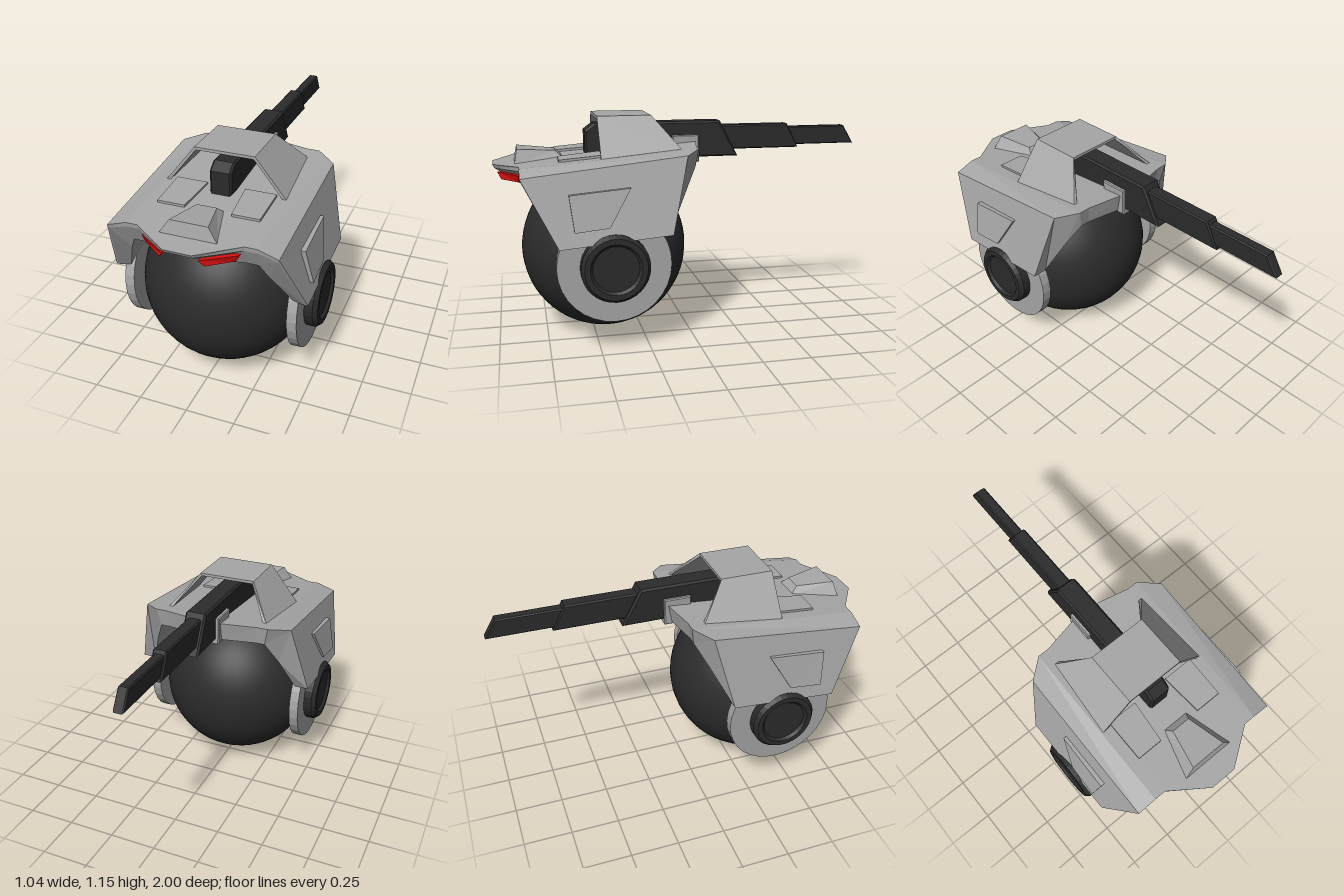
import * as THREE from 'three';

const grey = new THREE.MeshStandardMaterial({ color: 0xa6a6a6 });
grey.name = 'armour grey';
const dark = new THREE.MeshStandardMaterial({ color: 0x2b2b2b });
dark.name = 'charcoal';
const red = new THREE.MeshStandardMaterial({ color: 0xdc1010 });
red.name = 'lamp red';

// Flat-faced solid skinned over matching loops of [x, y, z] points, capped at both ends
function loft(loops) {
  const tris = [];
  const n = loops[0].length;
  for (let i = 0; i < loops.length - 1; i++) {
    for (let j = 0; j < n; j++) {
      const k = (j + 1) % n;
      const [a, b, c, d] = [loops[i][j], loops[i][k], loops[i + 1][k], loops[i + 1][j]];
      tris.push([a, b, c], [a, c, d]);
    }
  }
  const first = loops[0], last = loops[loops.length - 1];
  for (let j = 1; j < n - 1; j++) {
    tris.push([first[0], first[j + 1], first[j]], [last[0], last[j], last[j + 1]]);
  }
  // Turn the faces outward whichever way the loops run
  let volume = 0;
  for (const [a, b, c] of tris) {
    volume += new THREE.Vector3(...a).dot(new THREE.Vector3(...b).cross(new THREE.Vector3(...c)));
  }
  if (volume < 0) tris.forEach((t) => t.reverse());
  const geo = new THREE.BufferGeometry();
  geo.setAttribute('position', new THREE.Float32BufferAttribute(tris.flat(2), 3));
  geo.computeVertexNormals();
  return geo;
}

const mirrorX = (loop) => loop.map(([x, y, z]) => [-x, y, z]);
// Complete a half set of loops (centre outwards) across x = 0
const symmetric = (half) => [...half.slice().reverse().map(mirrorX), ...half];
const shift = (loop, dx, dy, dz) => loop.map(([x, y, z]) => [x + dx, y + dy, z + dz]);

// Side outline of [z, y] points made into a bar of half width w with chamfered edges
function bar(outline, w, bevel) {
  const shape = new THREE.Shape(outline.map(([z, y]) => new THREE.Vector2(-z, y)));
  const geo = new THREE.ExtrudeGeometry(shape, {
    depth: 2 * (w - bevel), bevelEnabled: bevel > 0, bevelThickness: bevel,
    bevelSize: bevel, bevelOffset: -bevel, bevelSegments: 1,
  });
  geo.translate(0, 0, bevel - w);
  geo.rotateY(Math.PI / 2);
  return geo;
}

// Height of the sloping roof
const roof = (z) => 1.0 - 0.083 * (z + 0.07);

export function createModel() {
  const model = new THREE.Group();
  const add = (name, geo, mat) => {
    const mesh = new THREE.Mesh(geo, mat);
    mesh.name = name;
    model.add(mesh);
    return mesh;
  };

  // Rolling ball
  add('ball', new THREE.SphereGeometry(0.44, 40, 32), dark).position.set(0, 0.445, 0.425);

  // Armour shell: each station is outer front, outer back, inner back, inner front, lip
  const shell = [
    [[0, roof(0.995), 0.995], [0, 1.0, -0.07], [0, 0.9, -0.05], [0, 0.81, 0.86], [0, 0.893, 0.985]],
    [[0.07, roof(0.995), 0.995], [0.07, 1.0, -0.07], [0.07, 0.9, -0.05], [0.07, 0.81, 0.86], [0.07, 0.893, 0.985]],
    [[0.26, roof(0.865), 0.865], [0.26, roof(-0.03), -0.03], [0.25, 0.9, -0.015], [0.25, 0.81, 0.82], [0.26, 0.9, 0.862]],
    [[0.32, roof(0.865), 0.865], [0.32, roof(-0.03), -0.03], [0.3, 0.9, -0.015], [0.31, 0.81, 0.82], [0.32, 0.9, 0.862]],
    [[0.42, 0.89, 0.865], [0.42, 0.976, 0.05], [0.36, 0.78, 0.05], [0.345, 0.74, 0.79], [0.412, 0.872, 0.86]],
    [[0.505, 0.555, 0.695], [0.505, 0.6, 0.14], [0.43, 0.6, 0.14], [0.43, 0.55, 0.68], [0.495, 0.55, 0.693]],
  ];
  add('armourShell', loft(symmetric(shell)), grey);

  // Open arched hood on the roof
  const hood = [
    [[0, 1.153, 0.465], [0, 1.153, 0.185], [0, 1.138, 0.185], [0, 1.138, 0.465]],
    [[0.155, 1.153, 0.465], [0.155, 1.153, 0.185], [0.148, 1.138, 0.185], [0.148, 1.138, 0.465]],
    [[0.32, 0.945, 0.465], [0.293, 0.975, 0.04], [0.272, 0.975, 0.04], [0.3, 0.945, 0.465]],
  ];
  add('roofHood', loft(symmetric(hood)), grey);

  // Raised block on the nose
  const blockBase = [[-0.145, 0.915, 0.885], [0.145, 0.915, 0.885], [0.075, 0.93, 0.63], [-0.075, 0.93, 0.63]];
  const blockTop = [[-0.095, 0.988, 0.87], [0.095, 0.988, 0.87], [0.05, 0.972, 0.675], [-0.05, 0.972, 0.675]];
  add('noseBlock', loft([blockBase, blockTop]), grey);

  for (const s of [1, -1]) {
    const side = s > 0 ? 'left' : 'right';
    const place = (loop) => (s > 0 ? loop : mirrorX(loop));

    // Roof hatch
    const hatch = [[0.098, 0.45], [0.26, 0.45], [0.258, 0.67], [0.118, 0.67]].map(([x, z]) => [x, roof(z) + 0.012, z]);
    add(side + 'RoofHatch', loft([place(hatch), place(shift(hatch, 0, -0.03, 0))]), grey);

    // Flank plate
    const flank = [[0.468, 0.81, 0.64], [0.463, 0.835, 0.34], [0.501, 0.65, 0.45], [0.506, 0.635, 0.62]];
    add(side + 'FlankPlate', loft([place(flank), place(shift(flank, -0.035, 0, 0))]), grey);

    // Headlamp under the nose lip
    const lamp = [[0.085, 0.875, 0.972], [0.24, 0.875, 0.868], [0.22, 0.84, 0.868], [0.11, 0.84, 0.952]];
    add(side + 'Headlamp', loft([place(lamp), place(shift(lamp, 0, 0, -0.07))]), red);

    // Axle disc
    const disc = new THREE.CylinderGeometry(0.285, 0.285, 0.05, 32).toNonIndexed();
    disc.computeVertexNormals();
    disc.rotateZ(Math.PI / 2);
    add(side + 'AxleDisc', disc, grey).position.set(s * 0.43, 0.445, 0.425);

    // Hub cap with a recessed centre
    const profile = [[0.172, 0.45], [0.172, 0.498], [0.155, 0.52], [0.128, 0.52], [0.115, 0.506], [0, 0.506]];
    const hub = new THREE.LatheGeometry(profile.map(([r, h]) => new THREE.Vector2(r, h)), 32).toNonIndexed();
    hub.computeVertexNormals();
    hub.rotateZ(-s * Math.PI / 2);
    add(side + 'HubCap', hub, dark).position.set(0, 0.445, 0.425);
  }

  // Cannon: breech and two telescoping barrel sections
  add('cannonBreech', bar([[0.52, 0.95], [0.52, 1.07], [0.47, 1.106], [-0.21, 1.106], [-0.312, 0.913], [0.1, 0.913]], 0.056, 0.01), dark);
  add('cannonMiddle', bar([[-0.15, 0.948], [-0.15, 1.08], [-0.6, 1.08], [-0.667, 0.948]], 0.037, 0.007), dark);
  add('cannonMuzzle', bar([[-0.5, 0.962], [-0.5, 1.062], [-0.94, 1.062], [-1.0, 0.962]], 0.027, 0.006), dark);

  // Cradle holding the cannon at the back edge
  add('cannonCradle', bar([[0.055, 0.96], [0.055, 1.035], [-0.09, 1.035], [-0.09, 0.89], [-0.015, 0.89], [-0.015, 0.96]], 0.073, 0.005), grey);

  return model;
}
